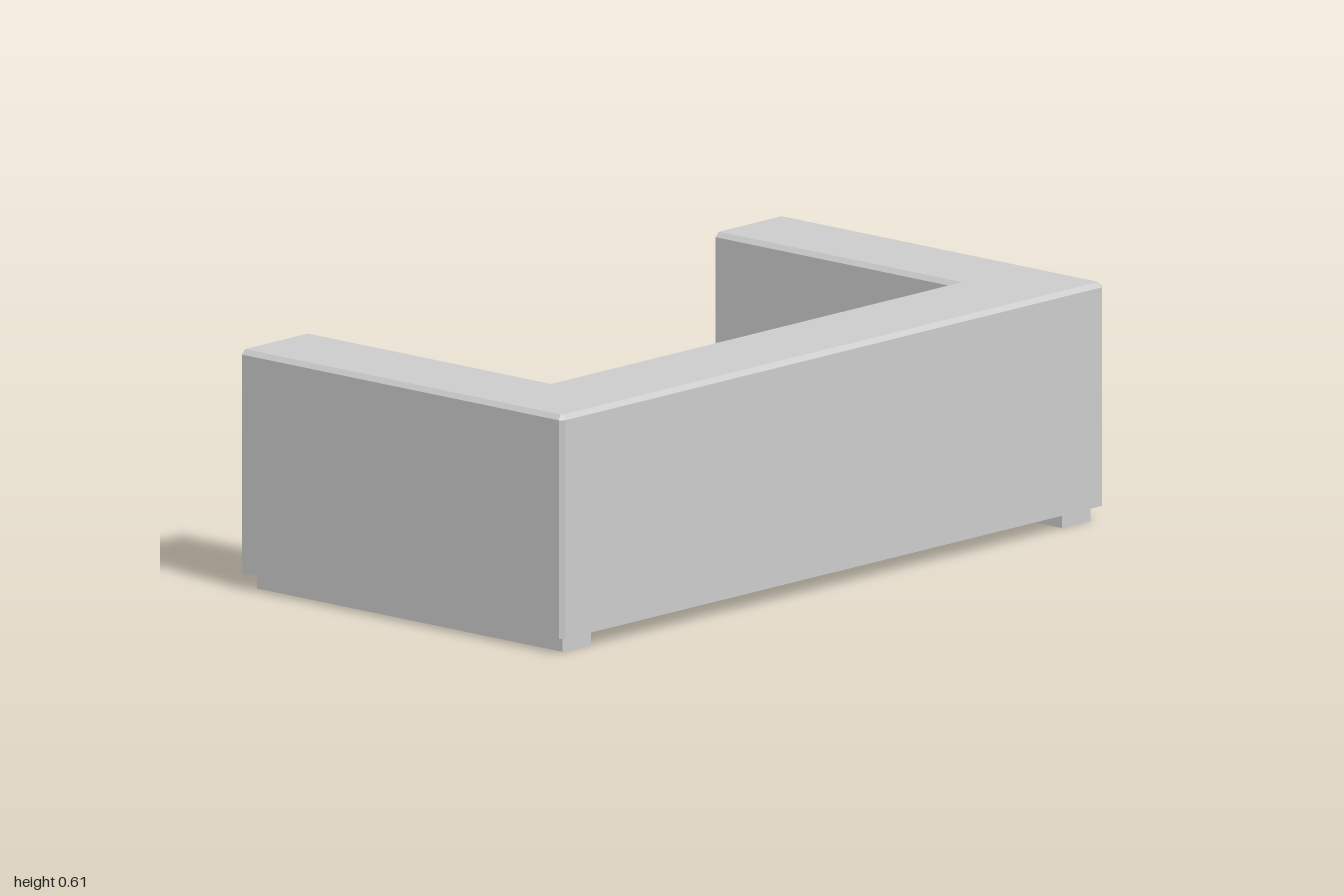
import * as THREE from 'three';
import { RoundedBoxGeometry } from 'three/addons/geometries/RoundedBoxGeometry.js';

const BOTTOM = 0.04, TOP = 0.61, FRONT = -0.54, BACK = 0.54;
const INNER_X = 0.745, INNER_Z = 0.268, BEVEL = 0.012;

// Polygon from [x, y] points
const polygon = (points) => new THREE.Shape(points.map(([x, y]) => new THREE.Vector2(x, y)));

export function createModel() {
  const group = new THREE.Group();
  const material = new THREE.MeshStandardMaterial({ color: 0xcccccc });
  const add = (name, geometry, x = 0, y = 0, z = 0) => {
    const mesh = new THREE.Mesh(geometry, material);
    mesh.name = name;
    mesh.position.set(x, y, z);
    group.add(mesh);
  };

  // U-shaped back and arms, drawn in plan (shape y = -z) and bevelled along the top
  const open = -FRONT + 0.02;
  const plan = polygon([
    [-1, open], [-1, -BACK + BEVEL], [-1 + BEVEL, -BACK],
    [1 - BEVEL, -BACK], [1, -BACK + BEVEL], [1, open],
    [INNER_X, open], [INNER_X, -INNER_Z], [-INNER_X, -INNER_Z], [-INNER_X, open],
  ]);
  const shell = new THREE.ExtrudeGeometry(plan, {
    depth: TOP - BOTTOM - BEVEL, bevelEnabled: true, bevelSegments: 1,
    bevelSize: BEVEL, bevelThickness: BEVEL, bevelOffset: -BEVEL,
  });
  shell.rotateX(-Math.PI / 2).translate(0, BOTTOM, 0);
  // Flatten the bevel on the underside and on the arm fronts
  const p = shell.attributes.position;
  for (let i = 0; i < p.count; i++) {
    p.setY(i, Math.max(p.getY(i), BOTTOM));
    p.setZ(i, Math.max(p.getZ(i), FRONT));
  }
  shell.computeVertexNormals();
  add('backAndArms', shell);

  // Seat base with a chamfered front edge, side profile (shape x = -z) run across the width
  const seatTop = 0.305;
  const profile = polygon([
    [-INNER_Z, BOTTOM], [-FRONT, BOTTOM], [-FRONT, seatTop - BEVEL],
    [-FRONT - BEVEL, seatTop], [-INNER_Z, seatTop],
  ]);
  const base = new THREE.ExtrudeGeometry(profile, { depth: 2 * INNER_X, bevelEnabled: false });
  base.translate(0, 0, -INNER_X).rotateY(Math.PI / 2);
  add('seatBase', base);

  // Cushions and foot rails, mirrored left and right
  for (const [side, s] of [['left', 1], ['right', -1]]) {
    add(side + 'Cushion', new RoundedBoxGeometry(0.712, 0.122, 0.76, 2, 0.008), s * 0.359, 0.262, -0.14);
    add(side + 'FootRail', new THREE.BoxGeometry(0.104, BOTTOM, 1.03), s * 0.92, BOTTOM / 2, 0);
  }
  return group;
}
